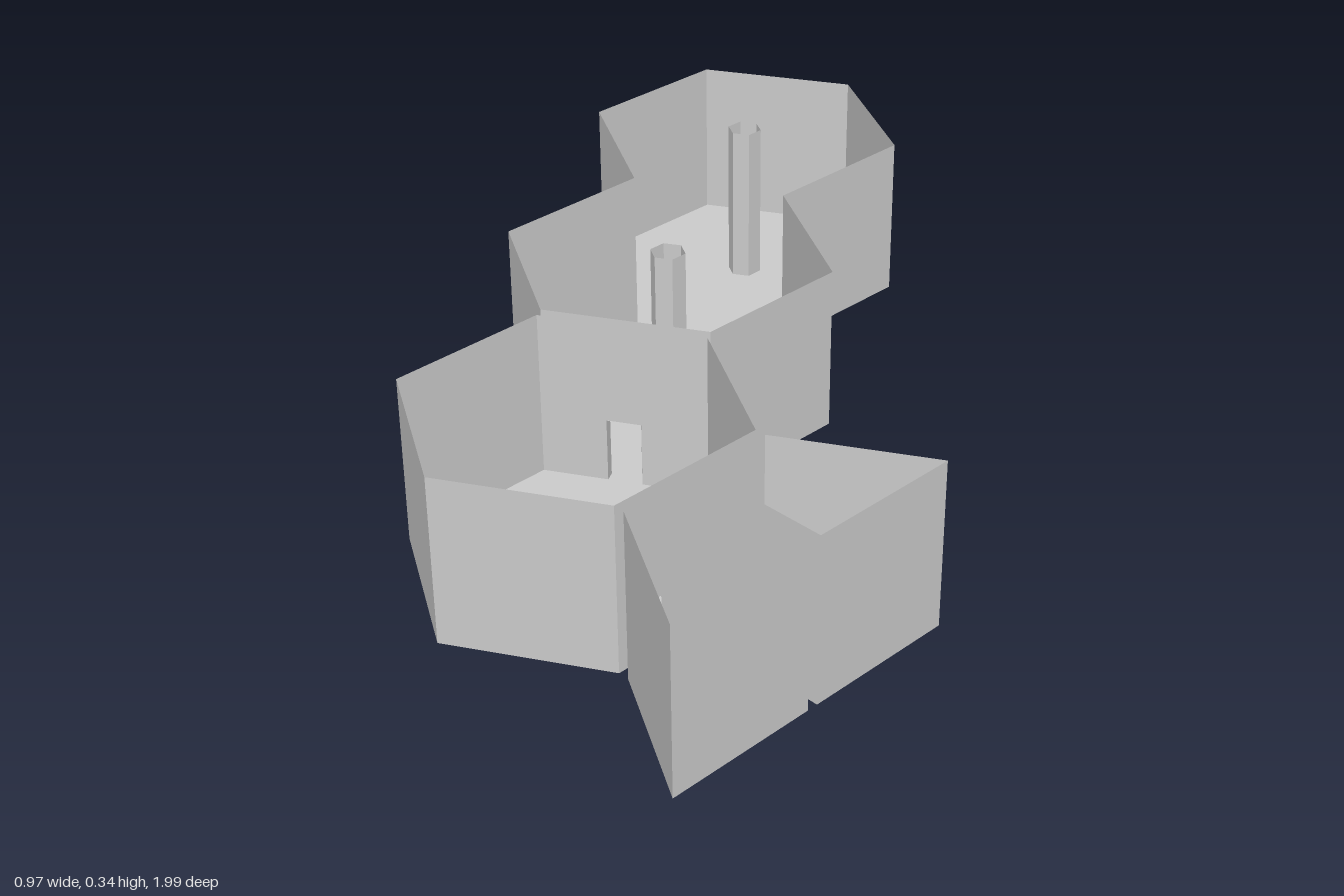
import * as THREE from 'three';

const HEIGHT = 0.335, DOOR_H = 0.13, GAP = 0.022;
const R = 0.322, APO = R * Math.sqrt(3) / 2, CX = -0.167;
const Z1 = -0.721, Z2 = -0.143, Z3 = 0.436;
const POST_R = 0.035;

const material = new THREE.MeshStandardMaterial({
  color: 0xcccccc, flatShading: true, side: THREE.DoubleSide
});

const hexagon = (cx, cz, r) => Array.from({ length: 6 }, (_, i) => {
  const a = i * Math.PI / 3;
  return [cx + r * Math.cos(a), cz + r * Math.sin(a)];
});

// Point at distance n out from the third room's slanted side and t along it
const slanted = (n, t) => {
  const c = Math.cos(Math.PI / 6), s = 0.5;
  return [CX + c * n - s * t, Z3 + s * n + c * t];
};

// Doorways: middle of the passage, its width and heading
const doors = [{ at: [CX, Z2 + APO + GAP / 2], width: 0.067, turn: 0 }];
for (const side of [-1, 1]) {
  doors.push({ at: slanted(APO + GAP / 2, side * 0.083), width: 0.042, turn: Math.PI / 3 });
}

function addMesh(parent, name, geometry) {
  const mesh = new THREE.Mesh(geometry, material);
  mesh.name = name;
  parent.add(mesh);
  return mesh;
}

// Thin upright wall, notched at the bottom wherever a doorway meets it
function addWall(parent, [x0, z0], [x1, z1]) {
  const dx = x1 - x0, dz = z1 - z0, len = Math.hypot(dx, dz);
  const cuts = [];
  for (const { at, width } of doors) {
    const px = at[0] - x0, pz = at[1] - z0;
    const along = (px * dx + pz * dz) / len;
    const away = Math.abs(px * dz - pz * dx) / len;
    if (away < GAP && along > width / 2 && along < len - width / 2) {
      cuts.push([along - width / 2, along + width / 2]);
    }
  }
  cuts.sort((a, b) => a[0] - b[0]);
  const outline = [[0, 0]];
  for (const [a, b] of cuts) outline.push([a, 0], [a, DOOR_H], [b, DOOR_H], [b, 0]);
  outline.push([len, 0], [len, HEIGHT], [0, HEIGHT]);
  const shape = new THREE.Shape(outline.map(p => new THREE.Vector2(...p)));
  const wall = addMesh(parent, 'wall', new THREE.ShapeGeometry(shape));
  wall.position.set(x0, 0, z0);
  wall.rotation.y = Math.atan2(-dz, dx);
}

// Open-topped room: floor, walls and hollow hexagonal posts
function addRoom(parent, name, corners, posts = []) {
  const room = new THREE.Group();
  room.name = name;
  parent.add(room);

  const toVectors = pts => pts.map(p => new THREE.Vector2(...p));
  const shape = new THREE.Shape(toVectors(corners));
  for (const [x, z] of posts) {
    shape.holes.push(new THREE.Path(toVectors(hexagon(x, z, POST_R))));
  }
  addMesh(room, 'floor', new THREE.ShapeGeometry(shape).rotateX(Math.PI / 2));

  corners.forEach((c, i) => addWall(room, c, corners[(i + 1) % corners.length]));

  for (const [x, z] of posts) {
    const tube = new THREE.CylinderGeometry(POST_R, POST_R, HEIGHT, 6, 1, true, Math.PI / 2);
    addMesh(room, 'hollowPost', tube).position.set(x, HEIGHT / 2, z);
  }
}

export function createModel() {
  const model = new THREE.Group();
  model.name = 'hexagonalRooms';

  // Two hexagons joined at an open neck
  const neckZ = (Z1 + Z2) / 2;
  const neck = R - (neckZ - Z1) / Math.sqrt(3);
  const half = R / 2;
  addRoom(model, 'doubleRoom', [
    [CX - half, Z1 - APO], [CX + half, Z1 - APO], [CX + R, Z1], [CX + neck, neckZ],
    [CX + R, Z2], [CX + half, Z2 + APO], [CX - half, Z2 + APO],
    [CX - R, Z2], [CX - neck, neckZ], [CX - R, Z1]
  ], [[CX, Z1], [CX, Z2]]);

  addRoom(model, 'singleRoom', hexagon(CX, Z3, R));

  // Half hexagon split into two mirrored side rooms
  const near = APO + GAP, far = near + APO - GAP / 2;
  const farHalf = half + (far - near) / Math.sqrt(3);
  for (const s of [-1, 1]) {
    addRoom(model, s < 0 ? 'sideRoomBack' : 'sideRoomFront', [
      slanted(near, s * GAP / 2), slanted(near, s * half),
      slanted(far, s * farHalf), slanted(far, s * GAP / 2)
    ]);
  }

  // Low square passages bridging the gaps
  for (const { at, width, turn } of doors) {
    const sleeve = new THREE.CylinderGeometry(Math.SQRT1_2, Math.SQRT1_2, 1, 4, 1, true, Math.PI / 4)
      .rotateX(Math.PI / 2).scale(width, DOOR_H, GAP);
    const passage = addMesh(model, 'passage', sleeve);
    passage.position.set(at[0], DOOR_H / 2, at[1]);
    passage.rotation.y = turn;
  }
  return model;
}
